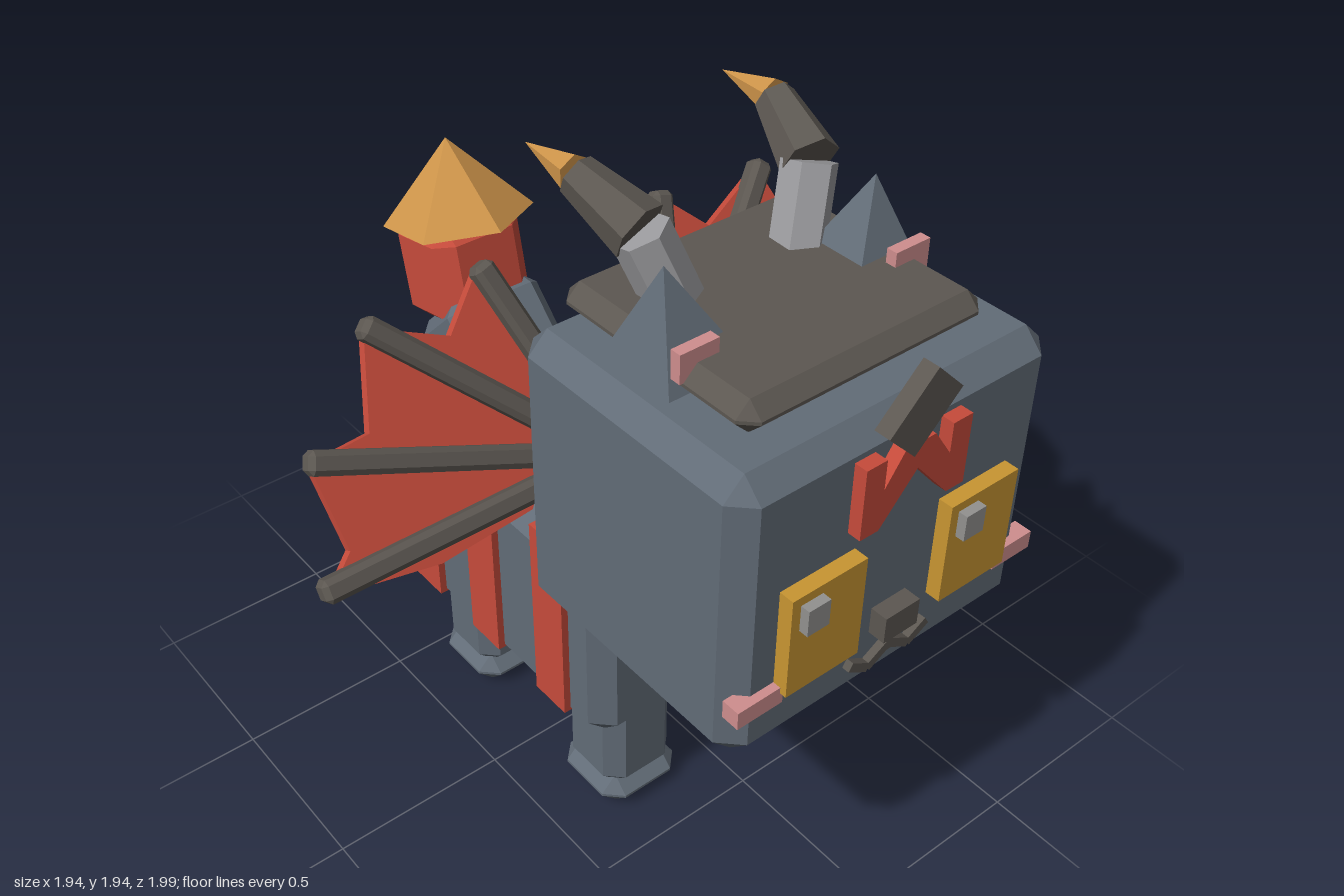
import * as THREE from 'three';
import { ConvexGeometry } from 'three/addons/geometries/ConvexGeometry.js';

const mat = (name, color, extra = {}) => {
  const m = new THREE.MeshStandardMaterial({ color, flatShading: true, ...extra });
  m.name = name;
  return m;
};

export function createModel() {
  const slate = mat('slate fur', 0x626c77);
  const red = mat('red', 0xc64b3b);
  const brown = mat('dark brown', 0x5c5751);
  const gold = mat('gold eye', 0xc99632);
  const tan = mat('tan', 0xcc9349);
  const pale = mat('pale grey', 0x9b9b9e);
  const pupilGrey = mat('pupil grey', 0x92918f);
  const pink = mat('pink', 0xcf8e8e);

  const model = new THREE.Group();
  model.name = 'wingedCat';

  const add = (name, geometry, material, pos = [0, 0, 0], rot = [0, 0, 0], parent = model) => {
    const mesh = new THREE.Mesh(geometry, material);
    mesh.name = name;
    mesh.position.set(...pos);
    mesh.rotation.set(...rot);
    parent.add(mesh);
    return mesh;
  };
  const box = (w, h, d) => new THREE.BoxGeometry(w, h, d);

  // Box with all edges and corners cut at 45 degrees
  const chamferBox = (w, h, d, c) => {
    const pts = [];
    for (const x of [-1, 1]) for (const y of [-1, 1]) for (const z of [-1, 1]) {
      const X = w / 2, Y = h / 2, Z = d / 2;
      pts.push(
        new THREE.Vector3(x * X, y * (Y - c), z * (Z - c)),
        new THREE.Vector3(x * (X - c), y * Y, z * (Z - c)),
        new THREE.Vector3(x * (X - c), y * (Y - c), z * Z));
    }
    return new ConvexGeometry(pts);
  };

  // Tapered prism between two points
  const UP = new THREE.Vector3(0, 1, 0);
  const limb = (name, a, b, r0, r1, material, sides = 6) => {
    const A = new THREE.Vector3(...a), B = new THREE.Vector3(...b);
    const dir = B.clone().sub(A);
    const mesh = add(name, new THREE.CylinderGeometry(r1, r0, dir.length(), sides), material);
    mesh.position.copy(A).add(B).multiplyScalar(0.5);
    mesh.quaternion.setFromUnitVectors(UP, dir.normalize());
  };

  // Flat outline extruded along z
  const plate = (points, depth) => new THREE.ExtrudeGeometry(
    new THREE.Shape(points.map(([x, y]) => new THREE.Vector2(x, y))),
    { depth, bevelEnabled: false });

  // Body with three stripes
  add('body', chamferBox(0.83, 0.59, 0.9, 0.055), slate, [0, 0.62, -0.06]);
  for (const z of [0.198, -0.102, -0.388])
    add('bodyStripe', box(0.87, 0.575, 0.125), red, [0, 0.657, z]);

  // Legs and feet
  for (const x of [-0.24, 0.24]) for (const z of [0.247, -0.347]) {
    add('leg', chamferBox(0.225, 0.34, 0.225, 0.045), slate, [x, 0.235, z]);
    add('foot', chamferBox(0.25, 0.1, 0.25, 0.046), slate, [x, 0.05, z]);
  }

  // Plates along the back
  add('backPlate', box(0.28, 0.1, 0.085), brown, [0, 0.97, 0.092]);
  add('backPlate', box(0.28, 0.05, 0.125), brown, [0, 0.945, -0.17], [0.25, 0, 0]);
  add('backPlatePale', box(0.24, 0.05, 0.12), pale, [0, 0.93, -0.285], [0.2, 0, 0]);
  add('backPlate', box(0.2, 0.05, 0.12), brown, [0, 0.945, -0.405], [0.25, 0, 0]);

  // Head and hair
  add('head', chamferBox(0.95, 0.8, 0.765, 0.055), slate, [0, 1.17, 0.552]);
  add('hair', chamferBox(0.72, 0.085, 0.64, 0.038), brown, [0, 1.61, 0.5]);

  // Forehead mark and lock of hair
  add('foreheadMark', plate([
    [-0.16, 1.31], [-0.105, 1.31], [0, 1.43], [0.105, 1.31], [0.16, 1.31],
    [0.16, 1.5], [0.1, 1.5], [0.1, 1.42], [0.045, 1.5],
    [-0.045, 1.5], [-0.1, 1.42], [-0.1, 1.5], [-0.16, 1.5],
  ], 0.045), red, [0, 0, 0.925]);
  add('hairLock', box(0.18, 0.12, 0.045), brown, [0, 1.578, 0.952], [0, 0, Math.PI / 4]);

  // Nose and mouth
  add('nose', box(0.108, 0.075, 0.06), brown, [0, 0.988, 0.952]);
  add('mouthLine', box(0.022, 0.08, 0.03), brown, [0, 0.92, 0.94]);
  for (const s of [-1, 1]) {
    add('mouthInner', box(0.075, 0.025, 0.03), brown, [s * 0.035, 0.878, 0.94], [0, 0, -s * 0.55]);
    add('mouthOuter', box(0.07, 0.025, 0.03), brown, [s * 0.095, 0.877, 0.94], [0, 0, s * 0.55]);
  }

  for (const s of [-1, 1]) {
    // Eyes and cheeks
    add('eye', box(0.22, 0.285, 0.06), gold, [s * 0.242, 1.108, 0.945]);
    add('pupil', box(0.064, 0.072, 0.04), pupilGrey, [s * 0.242 - 0.053, 1.19, 0.98]);
    add('cheek', box(0.132, 0.05, 0.05), pink, [s * 0.409, 0.957, 0.932]);

    // Ears: four-sided spikes leaning outward
    const ear = new THREE.ConeGeometry(0.17, 0.26, 4, 1);
    ear.rotateY(Math.PI / 4);
    const p = ear.attributes.position;
    for (let i = 0; i < p.count; i++)
      if (p.getY(i) > 0) p.setX(i, p.getX(i) + s * 0.04);
    add('ear', ear, slate, [s * 0.27, 1.69, 0.492]);
    add('innerEar', box(0.108, 0.075, 0.03), pink, [s * 0.316, 1.653, 0.605]);

    // Horns
    const h = [[0.175, 1.6, 0.39], [0.25, 1.81, 0.34], [0.292, 1.89, 0.17], [0.292, 1.89, -0.015]]
      .map(([x, y, z]) => [s * x, y, z]);
    limb('hornBase', h[0], h[1], 0.07, 0.07, pale);
    limb('hornMiddle', h[1], h[2], 0.075, 0.05, brown);
    limb('hornTip', h[2], h[3], 0.046, 0, tan);

    // Wings: fan of spars over a scalloped membrane, leaning back
    const wing = new THREE.Group();
    wing.name = s > 0 ? 'leftWing' : 'rightWing';
    wing.position.set(0, 0.955, 0.045);
    wing.rotation.x = -Math.PI / 6;
    model.add(wing);
    const root = [0.12, 0];
    const tips = [[0.97, 0], [0.89, 0.3], [0.64, 0.55], [0.29, 0.58]];
    for (const [x, y] of tips) {
      const dx = x - root[0], dy = y - root[1];
      add('wingSpar', chamferBox(Math.hypot(dx, dy), 0.062, 0.062, 0.014), brown,
        [s * (x + root[0]) / 2, (y + root[1]) / 2, 0], [0, 0, s * Math.atan2(dy, dx)], wing);
    }
    add('wingMembrane', plate([
      [0.1, -0.03], [0.65, -0.07], [0.95, -0.02], [0.86, 0.06], [0.88, 0.29], [0.71, 0.3],
      [0.63, 0.54], [0.42, 0.44], [0.29, 0.57], [0.1, 0.02],
    ].map(([x, y]) => [s * x, y]), 0.03), red, [0, 0, -0.042], [0, 0, 0], wing);
  }

  // Tail with a pointed cap
  add('tailBase', chamferBox(0.31, 0.29, 0.28, 0.04), slate, [0, 0.89, -0.63], [-0.78, 0, 0]);
  add('tailEnd', chamferBox(0.29, 0.32, 0.28, 0.05), red, [0, 1.1, -0.77], [-0.2, 0, 0]);
  add('tailCap', new THREE.ConeGeometry(0.215, 0.23, 6), tan, [0, 1.36, -0.803], [-0.18, 0, 0]);

  return model;
}
